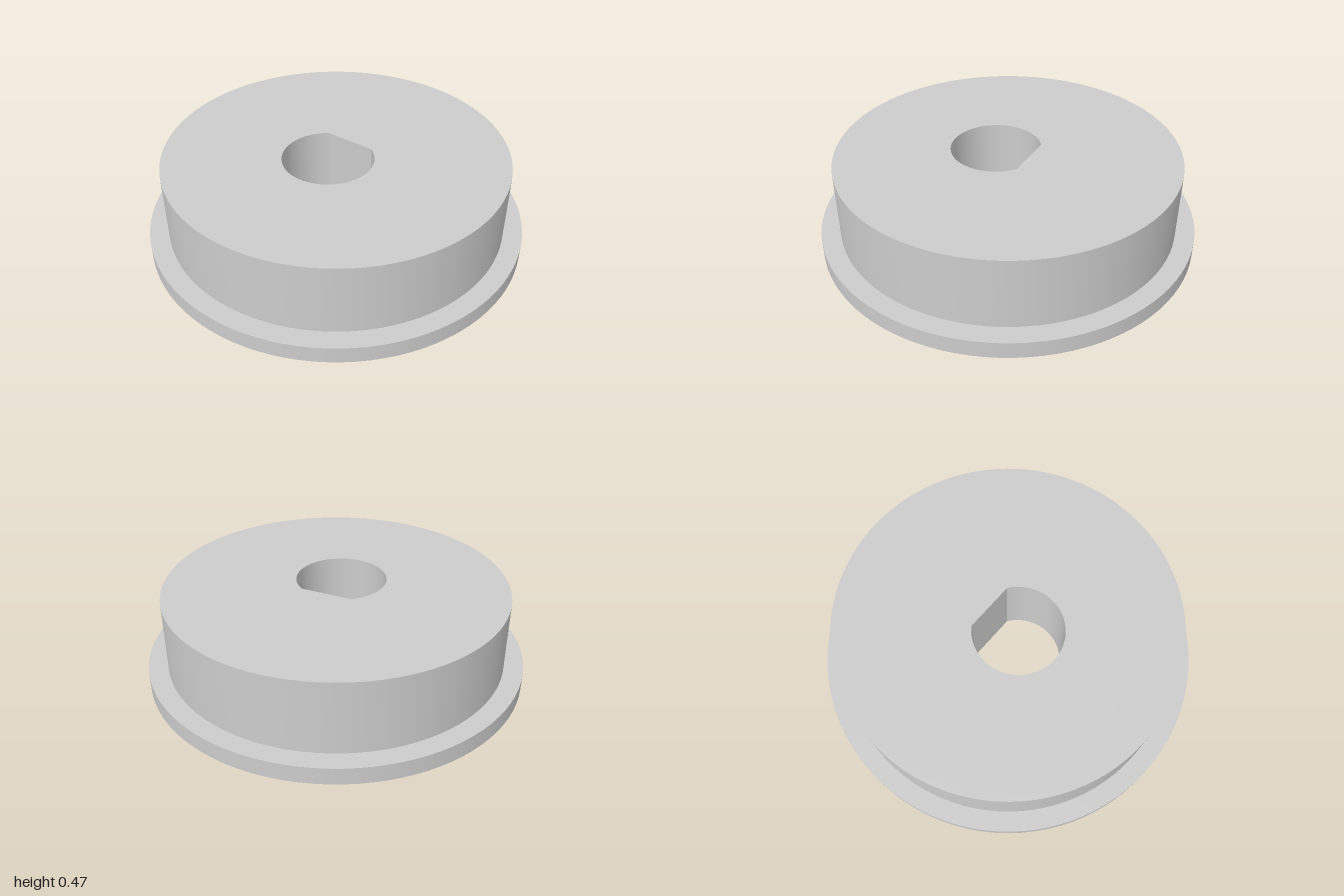
import * as THREE from 'three';
import { toCreasedNormals } from 'three/addons/utils/BufferGeometryUtils.js';

const FLANGE_RADIUS = 1, FLANGE_HEIGHT = 0.09;
const DRUM_RADIUS = 0.9, DRUM_HEIGHT = 0.47;
const BORE_RADIUS = 0.238, BORE_X = -0.07, FLAT_X = 0.125;

export function createModel() {
  const model = new THREE.Group();
  model.name = 'flangedBushing';
  const metal = new THREE.MeshStandardMaterial({ color: 0xcccccc });
  metal.name = 'light grey';

  const add = (name, geometry) => {
    const mesh = new THREE.Mesh(toCreasedNormals(geometry, Math.PI / 6), metal);
    mesh.name = name;
    model.add(mesh);
  };

  // Drum with an off-centre D-shaped bore running right through
  const disc = new THREE.Shape();
  disc.absarc(0, 0, DRUM_RADIUS, 0, Math.PI * 2);
  const flatAngle = Math.acos((FLAT_X - BORE_X) / BORE_RADIUS);
  const bore = new THREE.Path();
  bore.absarc(BORE_X, 0, BORE_RADIUS, flatAngle, Math.PI * 2 - flatAngle);
  bore.closePath();
  disc.holes.push(bore);
  const drum = new THREE.ExtrudeGeometry(disc, {
    depth: DRUM_HEIGHT, bevelEnabled: false, curveSegments: 48,
  });
  drum.rotateX(-Math.PI / 2);
  add('drum', drum);

  // Thin flange around the foot of the drum
  const profile = [
    [DRUM_RADIUS, 0], [FLANGE_RADIUS, 0],
    [FLANGE_RADIUS, FLANGE_HEIGHT], [DRUM_RADIUS, FLANGE_HEIGHT],
  ].map(([r, y]) => new THREE.Vector2(r, y));
  add('flange', new THREE.LatheGeometry(profile, 96));

  return model;
}
